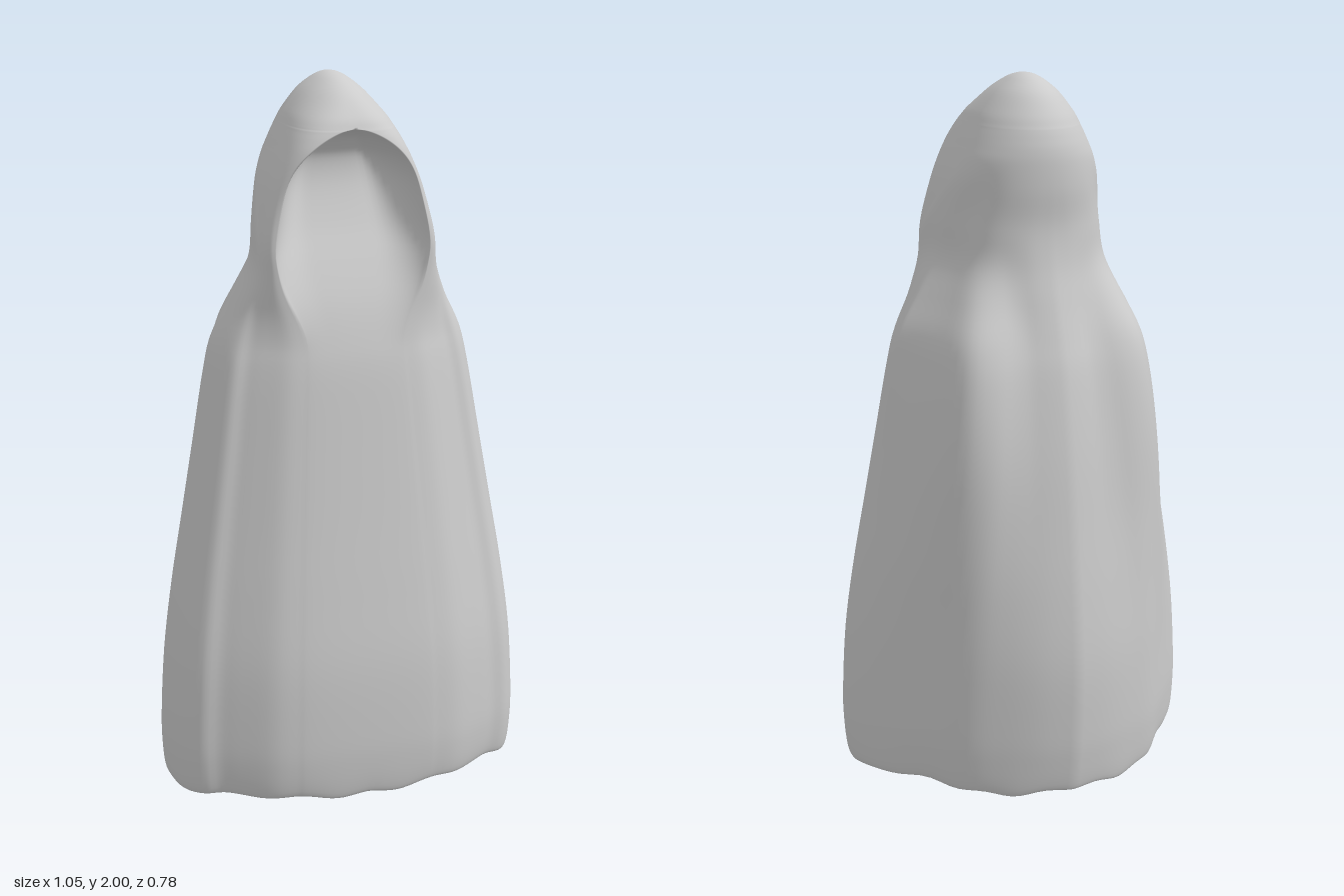
import * as THREE from 'three';
import { mergeVertices } from 'three/addons/utils/BufferGeometryUtils.js';

const { smoothstep, lerp, clamp } = THREE.MathUtils;

// Height, half width, back z, front z, depth of the face hollow
const LEVELS = [
  [0.018, 0.495, -0.35, 0.365, 0],
  [0.03, 0.515, -0.362, 0.378, 0], [0.1, 0.524, -0.375, 0.388, 0],
  [0.2, 0.525, -0.386, 0.391, 0], [0.4, 0.512, -0.394, 0.383, 0],
  [0.6, 0.485, -0.38, 0.357, 0], [0.8, 0.45, -0.356, 0.328, 0],
  [1.0, 0.415, -0.329, 0.3, 0], [1.2, 0.38, -0.292, 0.272, 0],
  [1.3, 0.355, -0.264, 0.254, 0.004], [1.4, 0.305, -0.231, 0.236, 0.02],
  [1.5, 0.258, -0.2, 0.227, 0.06], [1.6, 0.243, -0.187, 0.227, 0.115],
  [1.7, 0.217, -0.195, 0.231, 0.16], [1.77, 0.19, -0.196, 0.243, 0.18],
  [1.81, 0.172, -0.192, 0.247, 0.165], [1.84, 0.158, -0.184, 0.243, 0.13],
  [1.86, 0.148, -0.177, 0.237, 0.07], [1.87, 0.143, -0.172, 0.232, 0],
  [1.9, 0.126, -0.155, 0.212, 0], [1.95, 0.087, -0.115, 0.155, 0],
  [1.982, 0.049, -0.066, 0.09, 0], [1.996, 0.022, -0.03, 0.04, 0], [2.0, 0, 0, 0, 0],
];

// Half outlines from back centre to the edge of the front panel (unit size)
const curve = pts => new THREE.SplineCurve(pts.map(p => new THREE.Vector2(...p)));
const SIDE_FOLD = [[0.98, 0.1], [1, 0.25], [0.96, 0.5], [0.88, 0.68], [0.78, 0.735], [0.68, 0.815], [0.52, 0.93], [0.38, 0.97]];
const HEM = curve([[0, -1], [0.2, -0.94], [0.38, -0.84], [0.55, -0.69], [0.7, -0.43], [0.87, -0.12], ...SIDE_FOLD]);
const SHOULDERS = curve([[0, -0.98], [0.2, -0.98], [0.38, -1], [0.56, -0.96], [0.73, -0.79], [0.87, -0.38], ...SIDE_FOLD]);
const HOOD = curve([[0, -1], [0.25, -0.98], [0.45, -0.9], [0.62, -0.74], [0.75, -0.5], [0.85, -0.2],
  [0.93, 0.1], [0.97, 0.3], [0.99, 0.5], [1, 0.7], [0.98, 0.85], [0.95, 0.93], [0.92, 0.98], [0.87, 1]]);

const N = 52, M = 14, SUB = 5;

// Crown outline: rounded back, squarer front, ending at the hood rim
function crownPoint(s, y) {
  const t = clamp((y - 1.7) / 0.17, 0, 1);
  const rim = 0.87 * Math.pow(1 - t * t * t, 0.6);
  const p = lerp(6, 2, smoothstep(y, 1.7, 1.98));
  const angle = s * (Math.PI - Math.asin(rim));
  const x = Math.sin(angle);
  const z = angle < Math.PI / 2 ? -Math.cos(angle) : Math.pow(1 - Math.pow(x, p), 1 / p);
  return new THREE.Vector2(x, z);
}

// One half of a horizontal ring: outer cloth, then the front panel or face hollow
function halfRing(y, w, back, front, depth) {
  const toShoulders = smoothstep(y, 0.3, 1.25);
  const toHood = smoothstep(y, 1.28, 1.56);
  const toCrown = smoothstep(y, 1.52, 1.8);
  const aboveRim = y >= 1.8699;
  const folds = 0.028 * smoothstep(y, 0.3, 1.25) * (1 - smoothstep(y, 1.3, 1.6)) + 0.004;
  const pts = [];
  for (let i = 0; i <= N; i++) {
    const s = i / N;
    const p = HEM.getPoint(s).lerp(SHOULDERS.getPoint(s), toShoulders)
      .lerp(HOOD.getPoint(s), toHood).lerp(crownPoint(s, y), toCrown);
    let x = p.x * w, z = p.y < 0 ? -p.y * back : p.y * front;
    // drapery folds: a ridge down the back and one behind each shoulder
    const f = folds * (1 - toCrown) * 0.5 * (Math.cos(s * Math.PI * 6.4) - 1) * (1 - smoothstep(s, 0.3, 0.5));
    const r = Math.hypot(x, z) || 1;
    x += f * x / r;
    z += f * z / r;
    pts.push([i === N && aboveRim ? 0 : x, y, z]);
  }
  const [rimX, , rimZ] = pts[N];
  for (let j = 1; j <= M; j++) {
    const u = j / M;
    const x = rimX * (1 - Math.pow(u, 1.4));
    const wall = Math.sin(Math.min(1, u / 0.65) * Math.PI / 2);
    const hollow = aboveRim ? 0 : Math.max(0, depth) * wall;
    pts.push([x, y, lerp(rimZ, front, Math.sin(u * Math.PI / 2)) - hollow]);
  }
  // uneven hem
  const hem = 1 - smoothstep(y, 0.02, 0.16);
  for (const p of pts) {
    const a = Math.atan2(p[0], p[2]);
    const wave = 0.5 + 0.3 * Math.cos(a * 5 + 2.6) + 0.2 * Math.cos(a * 13);
    p[1] += hem * (0.024 * wave - 0.014);
  }
  return pts;
}

function cloakGeometry() {
  const track = f => new THREE.CatmullRomCurve3(LEVELS.map(f), false, 'catmullrom', 0.5);
  const sizes = track(l => new THREE.Vector3(l[1], l[2], l[3]));
  const heights = track(l => new THREE.Vector3(0, l[0], l[4]));
  const rows = (LEVELS.length - 1) * SUB, cols = 2 * (N + M);
  const pos = [], idx = [];
  for (let r = 0; r <= rows; r++) {
    const a = sizes.getPoint(r / rows), b = heights.getPoint(r / rows);
    const half = halfRing(b.y, Math.max(0, a.x), a.y, a.z, b.z);
    for (const p of half) pos.push(...p);
    for (let i = N + M - 1; i > 0; i--) pos.push(-half[i][0], half[i][1], half[i][2]);
  }
  for (let r = 0; r < rows; r++) {
    for (let c = 0; c < cols; c++) {
      const p = r * cols + c, q = r * cols + (c + 1) % cols;
      idx.push(p, p + cols, q, q, p + cols, q + cols);
    }
  }
  let g = new THREE.BufferGeometry();
  g.setAttribute('position', new THREE.Float32BufferAttribute(pos, 3));
  g.setIndex(idx);
  g = mergeVertices(g, 1e-4);
  g.computeVertexNormals();
  return g;
}

export function createModel() {
  const group = new THREE.Group();
  group.name = 'hoodedCloak';
  const cloak = new THREE.Mesh(cloakGeometry(),
    new THREE.MeshStandardMaterial({ color: 0xcccccc, side: THREE.DoubleSide }));
  cloak.name = 'cloakAndHood';
  group.add(cloak);
  return group;
}
